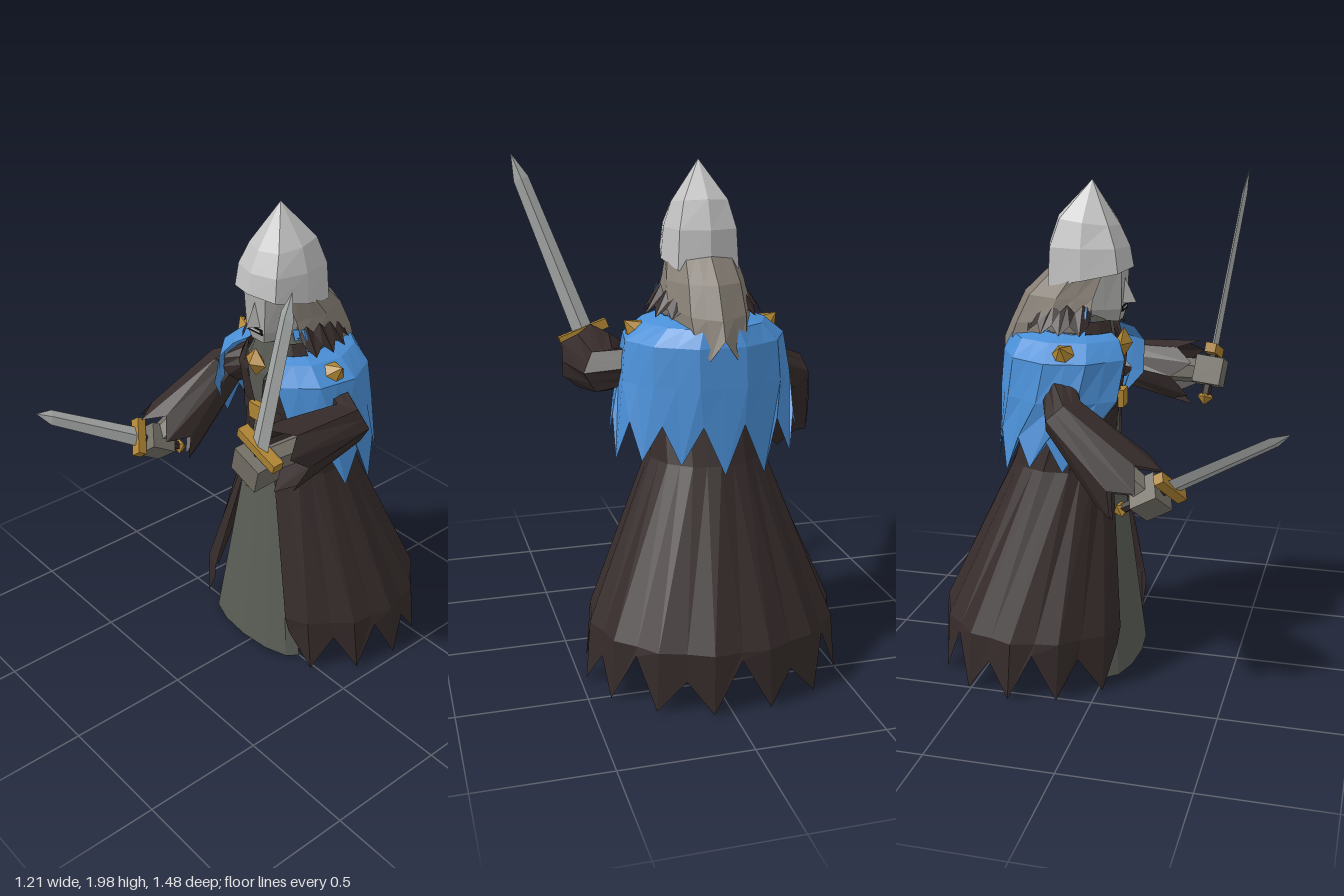
import * as THREE from 'three';

const mat = (name, color) => {
  const m = new THREE.MeshStandardMaterial({ color, side: THREE.DoubleSide });
  m.name = name;
  return m;
};
const V = (x, y, z) => new THREE.Vector3(x, y, z);
const TAU = Math.PI * 2, D = Math.PI / 180;

export function createModel() {
  const dark = mat('darkCloth', 0x352b2a), blue = mat('blueCloth', 0x4a8fd6);
  const grey = mat('greyCloth', 0x5a5c55), steel = mat('helmetSteel', 0xc2c2c2);
  const bladeSteel = mat('bladeSteel', 0xadb1af), gold = mat('gold', 0xae8432);
  const hairMat = mat('hair', 0x867e74), skin = mat('paleSkin', 0xacacaa);
  const glove = mat('gloveGrey', 0x747067), black = mat('mouthBlack', 0x151313);

  const root = new THREE.Group();
  root.name = 'hoodedSwordsman';
  const body = new THREE.Group();
  body.name = 'body';
  body.position.x = -0.04;
  root.add(body);

  // Faceted mesh from any geometry
  function add(parent, name, geo, material, pos) {
    const g = geo.index ? geo.toNonIndexed() : geo;
    g.computeVertexNormals();
    const m = new THREE.Mesh(g, material);
    m.name = name;
    if (pos) m.position.copy(pos);
    parent.add(m);
    return m;
  }

  // Elliptical arc of points; odd points lie on the chord, or stick out when jagged
  function arc(y, rx, rz, cz, a0, a1, n, jag = 0) {
    const pts = [], step = (a1 - a0) / n;
    for (let i = 0; i <= 2 * n; i++) {
      const odd = i % 2, a = a0 + (i * step) / 2;
      const k = odd ? (jag || Math.cos(step / 2)) : 1;
      const h = typeof y === 'function' ? y(a, odd, i) : y;
      pts.push(V(rx * k * Math.sin(a), h, cz + rz * k * Math.cos(a)));
    }
    return pts;
  }

  // Skin between rings, listed bottom to top
  function loft(rings) {
    const p = [];
    for (let r = 0; r + 1 < rings.length; r++) {
      const A = rings[r], B = rings[r + 1];
      for (let i = 0; i + 1 < A.length; i++)
        for (const v of [A[i], A[i + 1], B[i + 1], A[i], B[i + 1], B[i]]) p.push(v.x, v.y, v.z);
    }
    const g = new THREE.BufferGeometry();
    g.setAttribute('position', new THREE.Float32BufferAttribute(p, 3));
    return g;
  }
  // Open-fronted garment: the gap is a half angle in degrees
  const open = (y, rx, rz, cz, gap, n, jag) => arc(y, rx, rz, cz, gap * D, TAU - gap * D, n, jag);
  const closed = (y, rx, rz, cz, n, a0 = 0, jag = 0) => arc(y, rx, rz, cz, a0, a0 + TAU, n, jag);
  const front = (y, rx, rz, cz) => arc(y, rx, rz, cz, -90 * D, 90 * D, 6);

  // Curved gown panel filling the front of the robe, and undershirt
  add(body, 'gown', loft([
    front(0.02, 0.27, 0.09, 0.01), front(0.87, 0.13, 0.05, -0.05), front(1.13, 0.09, 0.04, -0.05)]), grey);
  add(body, 'undershirt', loft([
    closed(1.12, 0.19, 0.15, -0.17, 12), closed(1.3, 0.21, 0.165, -0.17, 12),
    closed(1.42, 0.14, 0.15, -0.17, 12), closed(1.5, 0.08, 0.1, -0.13, 12)]), grey);

  // Long ragged robe, open at the front, with a scalloped hem
  add(body, 'robeSkirt', loft([
    open((a, odd, i) => (odd ? 0.01 : 0.17 + 0.04 * Math.sin(i * 1.7)), 0.485, 0.42, -0.305, 31, 12, 1.06),
    open(0.24, 0.475, 0.42, -0.3, 30, 12, 1.04),
    open(0.87, 0.232, 0.222, -0.215, 20, 12),
    open(1.13, 0.21, 0.175, -0.17, 4, 12)]), dark);
  add(body, 'robeBodice', loft([
    open(1.12, 0.21, 0.175, -0.17, 2, 12),
    open(1.3, 0.24, 0.195, -0.17, 11, 12),
    open(1.42, 0.17, 0.175, -0.17, 32, 12)]), dark);
  add(body, 'belt', loft([closed(1.105, 0.22, 0.182, -0.17, 12), closed(1.16, 0.225, 0.182, -0.17, 12)]), dark);
  add(body, 'buckle', new THREE.BoxGeometry(0.075, 0.07, 0.03), gold, V(0, 1.135, 0.012));

  // Tattered shoulder cape, longest at the back
  add(body, 'cape', loft([
    open((a, odd, i) => (odd ? 0.915 + 0.05 * Math.cos(a) - 0.03 * Math.sin(i * 2.4) : 1.04), 0.365, 0.29, -0.19, 66, 9, 1.04),
    open(1.18, 0.345, 0.3, -0.175, 42, 9),
    open(1.33, 0.32, 0.285, -0.175, 33, 9),
    open(1.395, 0.24, 0.25, -0.18, 32, 9),
    open(1.425, 0.15, 0.18, -0.17, 34, 9)]), blue);

  // Ragged collar halves with blue lapel tips, shoulder studs and brooch
  for (const s of [1, -1]) {
    const side = s > 0 ? 'left' : 'right';
    add(body, side + 'Collar', loft([
      arc((a, odd) => (odd ? 1.42 : 1.455), 0.205, 0.2, -0.17, s * 62 * D, s * 145 * D, 4, 1.12),
      arc((a, odd) => (odd ? 1.53 : 1.5), 0.165, 0.17, -0.155, s * 62 * D, s * 145 * D, 4)]), dark);
    add(body, side + 'LapelFold', loft([
      arc(1.42, 0.2, 0.2, -0.17, s * 32 * D, s * 66 * D, 2),
      arc(1.465, 0.175, 0.18, -0.165, s * 32 * D, s * 66 * D, 2)]), dark);
    const tip = add(body, side + 'CollarTip', new THREE.BoxGeometry(0.07, 0.045, 0.008), blue, V(s * 0.135, 1.49, -0.09));
    tip.rotation.z = s * 0.35;
    const stud = add(body, side + 'Stud', new THREE.ConeGeometry(0.05, 0.06, 6), gold, V(s * 0.285, 1.375, -0.155));
    stud.rotation.z = -s * 48 * D;
  }
  const brooch = add(body, 'brooch', new THREE.OctahedronGeometry(0.06), gold, V(0, 1.36, 0.02));
  brooch.scale.z = 0.6;

  // Head with nose and mouth
  add(body, 'head', loft([
    closed(1.44, 0, 0, -0.1, 6, 30 * D), closed(1.45, 0.07, 0.125, -0.1, 6, 30 * D),
    closed(1.5, 0.105, 0.14, -0.1, 6, 30 * D), closed(1.68, 0.13, 0.145, -0.1, 6, 30 * D)]), skin);
  const nose = add(body, 'nose', new THREE.ConeGeometry(0.028, 0.1, 4), skin, V(0, 1.57, 0.022));
  nose.scale.z = 1.7;
  add(body, 'mouth', new THREE.BoxGeometry(0.085, 0.022, 0.008), black, V(0, 1.5, 0.021));
  add(body, 'teeth', new THREE.BoxGeometry(0.06, 0.008, 0.006), steel, V(0, 1.502, 0.024));

  // Long hair, falling over the cape at the back
  add(body, 'hair', loft([
    open((a, odd) => 1.39 + 0.09 * Math.cos(a) + (odd ? -0.02 : 0.06), 0.16, 0.285, -0.19, 64, 6, 1),
    open((a) => 1.47 + 0.04 * Math.cos(a), 0.17, 0.255, -0.19, 64, 6),
    open(1.55, 0.155, 0.21, -0.175, 60, 6),
    open(1.66, 0.13, 0.15, -0.12, 55, 6)]), hairMat);

  // Pointed, squarish helmet with a rim that dips at the back
  add(body, 'helmet', loft([
    closed((a) => 1.62 + 0.04 * Math.cos(a), 0.15, 0.175, -0.115, 4, 0, 1.12),
    closed(1.74, 0.14, 0.163, -0.118, 4, 0, 1.12),
    closed((a) => 1.835 - 0.015 * Math.cos(a), 0.11, 0.124, -0.118, 4, 0, 1.1),
    closed(1.99, 0, 0, -0.105, 4)]), steel);

  // Sleeve along a path of [point, radius], with a torn, drooping cuff
  function sleeve(name, path) {
    const n = 6, last = path.length - 1;
    const rings = path.map(([p, r], k) => {
      const d = path[Math.min(k + 1, last)][0].clone().sub(path[Math.max(k - 1, 0)][0]).normalize();
      const u = V(0, 1, 0).cross(d).normalize(), w = d.clone().cross(u);
      return Array.from({ length: 2 * n + 1 }, (_, i) => {
        const a = (i / (2 * n)) * TAU, odd = i % 2;
        const rr = r * (odd ? (k === last ? 1.1 : Math.cos(Math.PI / n)) : 1);
        const out = k === last ? (odd ? 0.06 : -0.02) : 0;
        return p.clone().addScaledVector(u, rr * Math.cos(a))
          .addScaledVector(w, rr * Math.sin(a)).addScaledVector(d, out);
      });
    });
    add(root, name, loft(rings), dark);
  }
  sleeve('leftSleeve', [[V(0.2, 1.23, -0.17), 0.075], [V(0.34, 1.195, -0.125), 0.09], [V(0.32, 1.165, 0.19), 0.128]]);
  sleeve('rightSleeve', [[V(-0.28, 1.22, -0.17), 0.075], [V(-0.41, 1.15, -0.125), 0.088], [V(-0.46, 0.92, 0.13), 0.137]]);

  // Sword held in a gloved fist; built upright, then turned to its aim
  function sword(name, at, tip, guardDir, grip, wrist, fistWidth) {
    const g = new THREE.Group(), len = at.distanceTo(tip);
    g.name = name;
    const y = tip.clone().sub(at).normalize();
    const z = guardDir.clone().cross(y).normalize(), x = y.clone().cross(z);
    g.quaternion.setFromRotationMatrix(new THREE.Matrix4().makeBasis(x, y, z));
    g.position.copy(at);
    root.add(g);
    add(g, 'blade', loft([
      closed(0, 0.043, 0.014, 0, 4), closed(len * 0.86, 0.032, 0.011, 0, 4), closed(len, 0, 0, 0, 4)]), bladeSteel);
    add(g, 'guard', new THREE.BoxGeometry(guardDir.length(), 0.04, 0.045), gold);
    add(g, 'grip', new THREE.CylinderGeometry(0.02, 0.02, grip, 6), dark, V(0, -grip / 2, 0));
    add(g, 'pommel', new THREE.OctahedronGeometry(0.035), gold, V(0, -grip, 0));
    const fist = add(g, 'fist', new THREE.BoxGeometry(fistWidth, 0.115, 0.115), glove, V(0, -0.09, 0));
    // Forearm linking fist and sleeve
    const from = fist.position.clone().applyQuaternion(g.quaternion).add(at);
    const dir = wrist.clone().sub(from);
    const arm = add(root, name + 'Forearm', new THREE.CylinderGeometry(0.055, 0.05, dir.length(), 6), glove,
      from.clone().addScaledVector(dir, 0.5));
    arm.quaternion.setFromUnitVectors(V(0, 1, 0), dir.normalize());
  }
  sword('longSword', V(0.335, 1.255, 0.32), V(0.6, 1.99, 0.41), V(0.2, -0.072, 0), 0.2, V(0.325, 1.17, 0.05), 0.14);
  sword('shortSword', V(-0.475, 0.925, 0.3), V(-0.53, 1.18, 0.74), V(0.1, -0.1, 0.07), 0.22, V(-0.44, 1.0, 0.05), 0.11);

  return root;
}
